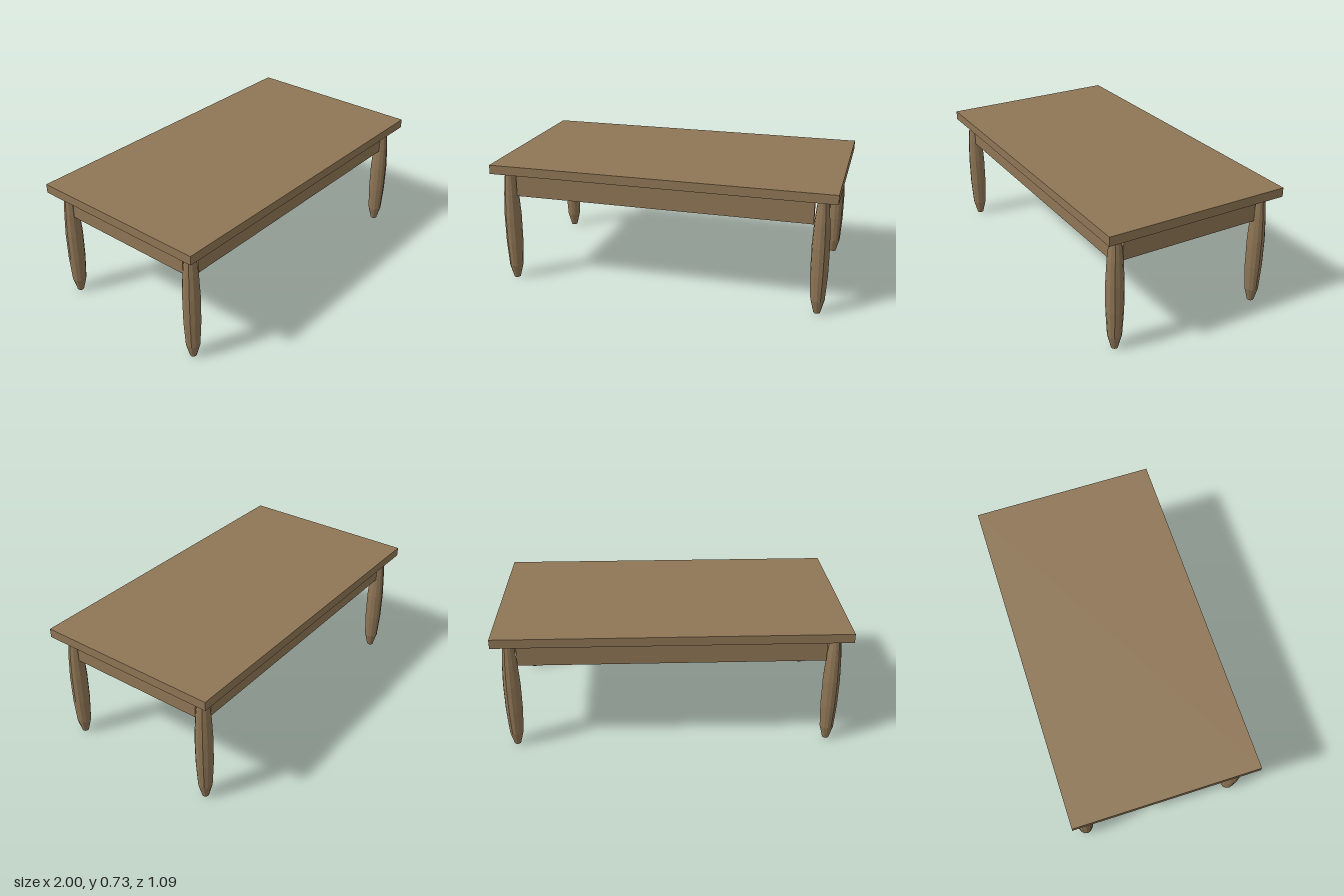
import * as THREE from 'three';

export function createModel() {
  const table = new THREE.Group();
  table.name = 'table';
  const wood = new THREE.MeshStandardMaterial({ color: 0x8f7656, flatShading: true });
  wood.name = 'brown wood';

  const legX = 0.914, legZ = 0.46, underside = 0.676;

  const add = (name, geometry, x, y, z) => {
    const mesh = new THREE.Mesh(geometry, wood);
    mesh.name = name;
    mesh.position.set(x, y, z);
    table.add(mesh);
  };

  // Rectangular top
  add('tableTop', new THREE.BoxGeometry(2, 0.053, 1.09), 0, underside + 0.0265, 0);

  // Turned, bulging leg with a tapered foot
  const profile = [
    [0, 0], [0.019, 0], [0.04, 0.08], [0.049, 0.235],
    [0.05, 0.4], [0.043, 0.54], [0.029, underside], [0, underside],
  ].map(([r, y]) => new THREE.Vector2(r, y));
  const leg = new THREE.LatheGeometry(profile, 12);

  // Apron boards run between the legs on their centre lines
  const longApron = new THREE.BoxGeometry(1.74, 0.147, 0.032);
  const shortApron = new THREE.BoxGeometry(0.032, 0.147, 0.84);
  const apronY = underside - 0.0735;

  for (const s of [-1, 1]) {
    add(s > 0 ? 'frontApron' : 'backApron', longApron, 0, apronY, s * legZ);
    add(s > 0 ? 'leftApron' : 'rightApron', shortApron, s * legX, apronY, 0);
    for (const t of [-1, 1]) {
      add((t > 0 ? 'front' : 'back') + (s > 0 ? 'Left' : 'Right') + 'Leg', leg, s * legX, 0, t * legZ);
    }
  }
  return table;
}
